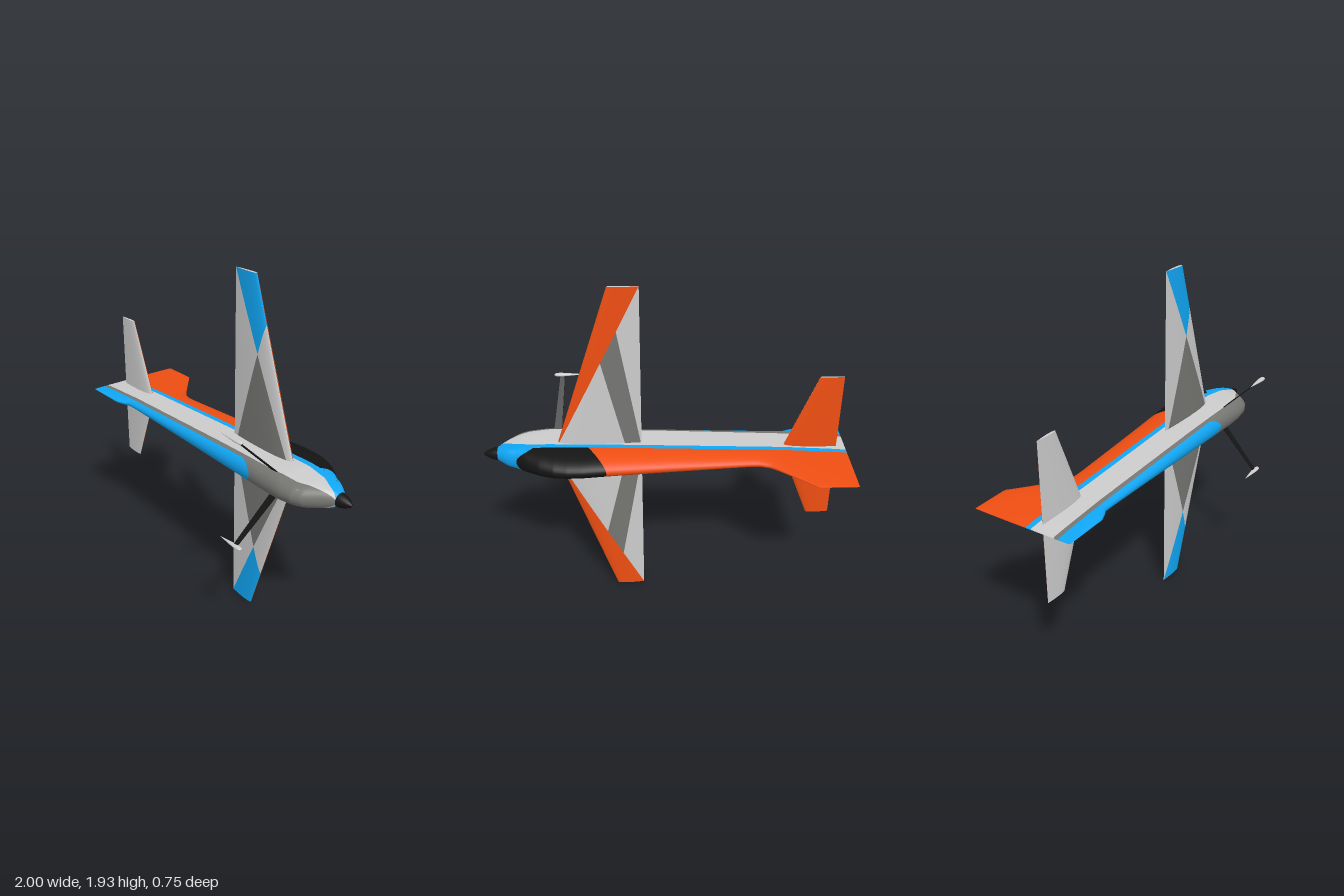
import * as THREE from 'three';
import { ParametricGeometry } from 'three/addons/geometries/ParametricGeometry.js';

const GREY = 0xcccccc, DARK = 0x757572, BLUE = 0x10a6f4, ORANGE = 0xee4e12, BLACK = 0x141414;
const mats = {};
const mat = (color) => (mats[color] ??= new THREE.MeshStandardMaterial({ color, side: THREE.DoubleSide }));
const lerp = THREE.MathUtils.lerp;

// Piecewise curve through [x, value] pairs
const curve = (...pts) => (x) => {
  let i = 1;
  while (i < pts.length - 1 && x > pts[i][0]) i++;
  const [a, b] = [pts[i - 1], pts[i]];
  return lerp(a[1], b[1], THREE.MathUtils.clamp((x - a[0]) / (b[0] - a[0]), 0, 1));
};

// Fuselage outlines along x (the aircraft's upper side faces -z)
const top = curve([-1, -.38], [-.79, -.38], [-.6, -.215], [-.56, -.185], [-.5, -.166], [-.44, -.167], [0, -.195],
  [.32, -.218], [.45, -.23], [.53, -.23], [.6, -.22], [.68, -.19], [.75, -.145], [.81, -.095], [.87, -.07], [.92, -.037]);
const bottom = curve([-1, .2], [-.75, .2], [-.7, .18], [-.67, .163], [-.6, .162], [0, .172], [.4, .18],
  [.68, .19], [.76, .182], [.81, .16], [.85, .115], [.88, .08], [.92, .038]);
const width = curve([-1, .003], [-.9, .012], [-.65, .028], [0, .052], [.4, .066], [.65, .072], [.8, .064], [.88, .05], [.92, .037]);
const chine = curve([-1, .11], [.6, .12], [.75, .09], [.86, .04], [.92, 0]);
// Colour boundaries along the side
const shoulder = curve([-1, -.06], [.75, -.06], [.85, -.045], [.92, 0]);
const stripeLow = curve([-1, -.03], [.68, -.028], [.8, -.01], [.87, .018], [.92, .034]);
const darkHigh = curve([-1, .105], [.2, .125], [.58, .135], [.75, .12], [.86, .07], [.92, .036]);
const darkLow = curve([-1, .13], [.4, .15], [.68, .16], [.78, .15], [.85, .1], [.92, .037]);

// Half width of the body at (x, z): flat sides with elliptic crown and belly
function halfWidth(x, z) {
  const s = shoulder(x), c = chine(x);
  let t = 0;
  if (z < s) t = (z - s) / (top(x) - s);
  else if (z > c) t = (z - c) / (bottom(x) - c);
  return width(x) * Math.sqrt(Math.max(0, 1 - t * t));
}

function sheet(parent, name, color, f, nu, nv) {
  const g = new ParametricGeometry(f, nu, nv);
  g.computeVertexNormals();
  const mesh = new THREE.Mesh(g, mat(color));
  mesh.name = name;
  parent.add(mesh);
}

// Side band between two boundaries, on both sides
function band(parent, name, color, low, high) {
  for (const side of [1, -1]) {
    sheet(parent, name, color, (u, v, p) => {
      const x = lerp(-1, .92, u), z = lerp(low(x), high(x), v);
      p.set(x, side * halfWidth(x, z), z);
    }, 128, 8);
  }
}

// Panel wrapping over the top or bottom; its ends may slant with height t
function wrap(parent, name, color, edge, ridge, start, end) {
  sheet(parent, name, color, (u, v, p) => {
    const w = 2 * v - 1, t = Math.sin((1 - Math.abs(w)) * Math.PI / 2);
    const x = lerp(start(t), end(t), u), z = lerp(edge(x), ridge(x), t);
    p.set(x, Math.sign(w) * halfWidth(x, z), z);
  }, 80, 24);
}

// Tapered flying surface; planform points are [x, distance from centreline]
function flyingSurface(parent, name, trail, lead, span, panels) {
  const half = (x, s) => {
    const c = lead(s) - trail, f = THREE.MathUtils.clamp((lead(s) - x) / c, 0, 1);
    return .56 * c * (.2969 * Math.sqrt(f) - .126 * f - .3516 * f * f + .2843 * f ** 3 - .1015 * f ** 4);
  };
  for (const side of [1, -1]) {
    const wing = new THREE.Group();
    wing.name = name;
    for (const [label, color, face, a, b, c, d] of panels) {
      sheet(wing, label, color, (u, v, p) => {
        const x = lerp(lerp(a[0], b[0], u), lerp(d[0], c[0], u), v);
        const s = lerp(lerp(a[1], b[1], u), lerp(d[1], c[1], u), v);
        p.set(x, side * s, face * half(x, s));
      }, 28, 28);
    }
    sheet(wing, 'tipCap', GREY, (u, v, p) => {
      const x = lerp(trail, lead(span), u);
      p.set(x, side * span, half(x, span) * (2 * v - 1));
    }, 28, 1);
    parent.add(wing);
  }
}

export function createModel() {
  const model = new THREE.Group();
  model.name = 'aeroplane';
  model.position.y = .965;

  // Fuselage, fin and rudder
  const body = new THREE.Group();
  body.name = 'fuselage';
  model.add(body);
  const rear = () => -1, nose = () => .92;
  const canopyRear = (t) => .42 - .1 * t, canopyFront = (t) => .72 + .09 * t;
  const bellyEnd = (t) => .38 + .08 * t;
  wrap(body, 'finAndRearDeck', ORANGE, shoulder, top, rear, canopyRear);
  wrap(body, 'canopy', BLACK, shoulder, top, canopyRear, canopyFront);
  wrap(body, 'noseTop', BLUE, shoulder, top, canopyFront, nose);
  band(body, 'sideStripe', BLUE, shoulder, stripeLow);
  band(body, 'sidePanel', GREY, stripeLow, darkHigh);
  band(body, 'lowerStripe', DARK, darkHigh, darkLow);
  wrap(body, 'belly', BLUE, darkLow, bottom, rear, bellyEnd);
  wrap(body, 'chin', DARK, darkLow, bottom, bellyEnd, nose);

  // Spinner
  const profile = [[.038, 0], [.034, .02], [.025, .045], [.012, .068], [0, .08]].map((q) => new THREE.Vector2(...q));
  const spinner = new THREE.Mesh(new THREE.LatheGeometry(profile, 32), mat(BLACK));
  spinner.name = 'spinner';
  spinner.rotation.z = -Math.PI / 2;
  spinner.position.x = .92;
  model.add(spinner);

  // Wings: underside faces +z, upper side -z
  const tipT = [.13, .965], tipL = [.29, .965], rootT = [.13, .03], rootL = [.6, .03];
  const cross = [.32, .565], crossL = [.369, .725];
  const darkA = [.153, .03], darkB = [.574, .03];
  const upA = [.25, .726], upB = [.337, .553], upC = [.215, .03];
  flyingSurface(model, 'wing', .13, (s) => .61 - .3316 * s, .965, [
    ['lowerTipPanel', BLUE, 1, tipT, tipL, crossL, cross],
    ['lowerRootPanel', DARK, 1, darkA, cross, cross, darkB],
    ['lowerRearPanel', GREY, 1, rootT, tipT, cross, darkA],
    ['lowerFrontPanel', GREY, 1, darkB, cross, crossL, rootL],
    ['upperFrontPanel', ORANGE, -1, tipT, tipL, rootL, rootL],
    ['upperStripe', DARK, -1, rootT, upA, upB, upC],
    ['upperRearPanel', GREY, -1, rootT, tipT, upA, upA],
    ['upperMiddlePanel', GREY, -1, upC, upB, rootL, rootL],
  ]);

  // Tailplane
  const tail = [[-.95, 0], [-.95, .445], [-.82, .445], [-.645, 0]];
  flyingSurface(model, 'tailplane', -.95, (s) => -.645 - .393 * s, .445, [
    ['lowerSkin', GREY, 1, ...tail],
    ['upperSkin', ORANGE, -1, ...tail],
  ]);

  // Landing gear: flat tapered legs with streamlined wheel fairings
  for (const side of [1, -1]) {
    const leg = new THREE.BoxGeometry(1, 1, .006);
    const pos = leg.attributes.position;
    for (let i = 0; i < pos.count; i++) {
      const outer = pos.getY(i) > 0 ? 1 : 0, n = pos.getZ(i) * Math.SQRT1_2;
      pos.setXYZ(i,
        lerp(.598, .572, outer) + pos.getX(i) * lerp(.044, .024, outer),
        side * (lerp(.05, .29, outer) - n),
        lerp(.115, .36, outer) + n);
    }
    leg.computeVertexNormals();
    const legMesh = new THREE.Mesh(leg, mat(BLACK));
    legMesh.name = 'gearLeg';
    model.add(legMesh);

    const drop = [[0, -.12], [.005, -.08], [.011, -.03], [.015, .015], [.014, .038], [.009, .049], [0, .052]];
    const fairing = new THREE.Mesh(new THREE.LatheGeometry(drop.map((q) => new THREE.Vector2(...q)), 20), mat(GREY));
    fairing.name = 'wheelFairing';
    fairing.rotation.z = -Math.PI / 2;
    fairing.scale.x = .65;
    fairing.position.set(.567, side * .291, .36);
    model.add(fairing);
  }

  const root = new THREE.Group();
  root.name = 'model';
  root.add(model);
  return root;
}
